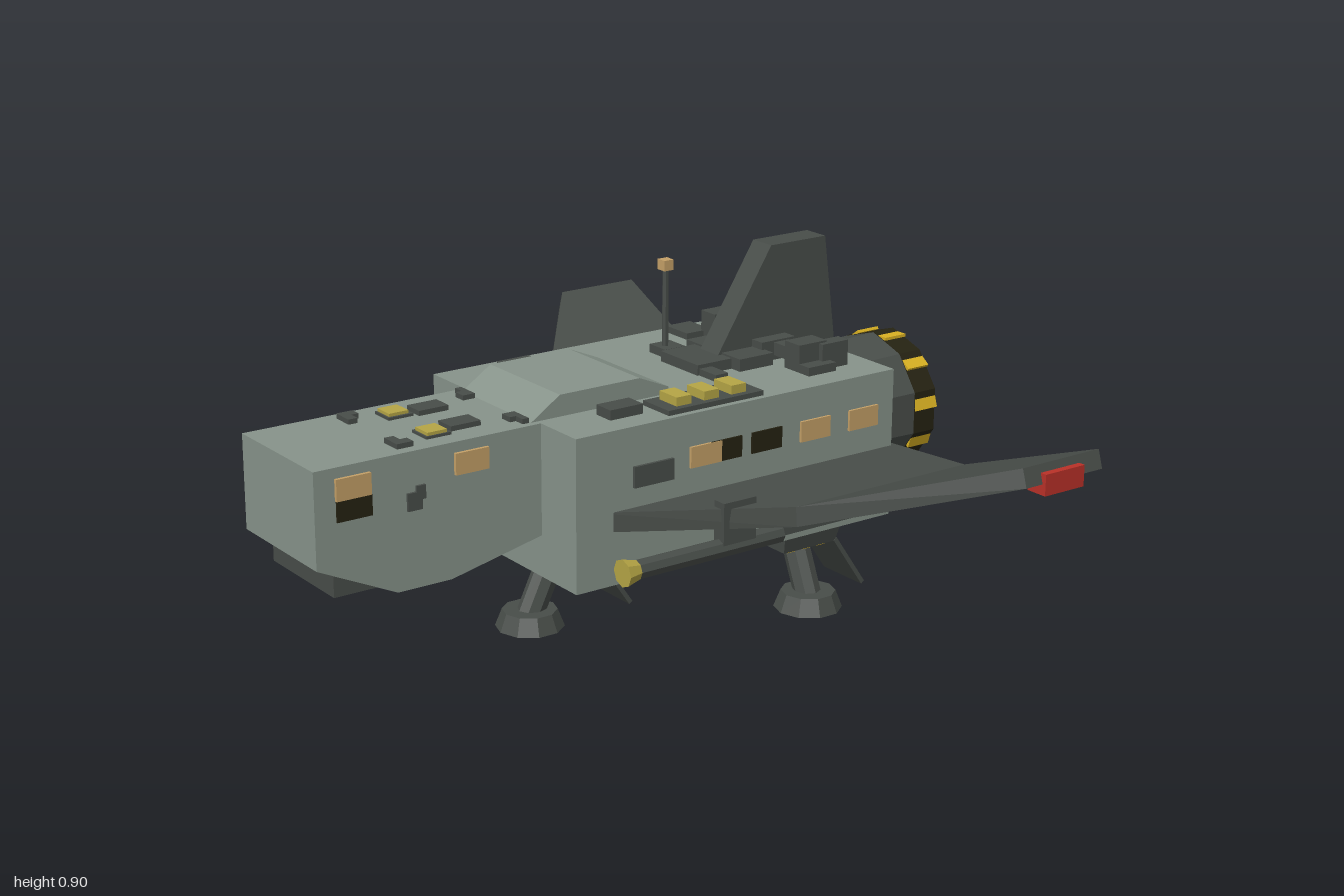
import * as THREE from 'three';
import { ConvexGeometry } from 'three/addons/geometries/ConvexGeometry.js';

const mat = (name, color) => {
  const m = new THREE.MeshStandardMaterial({ color, flatShading: true });
  m.name = name;
  return m;
};

export function createModel() {
  const hull = mat('hull grey green', 0x87938a), dark = mat('dark grey', 0x484d49);
  const black = mat('black', 0x252212), brass = mat('brass', 0xb5a545);
  const hazard = mat('hazard yellow', 0xd8b022), tan = mat('window tan', 0xc4a067);
  const red = mat('red', 0xb93128), green = mat('green', 0x1f7a3c);

  const model = new THREE.Group();
  model.name = 'spacecraft';
  const add = (name, geo, m, parent = model) => {
    const mesh = new THREE.Mesh(geo, m);
    mesh.name = name;
    parent.add(mesh);
    return mesh;
  };
  // Box given by its extents on each axis
  const box = (name, m, x0, x1, y0, y1, z0, z1, parent) => {
    const g = new THREE.BoxGeometry(x1 - x0, y1 - y0, z1 - z0);
    g.translate((x0 + x1) / 2, (y0 + y1) / 2, (z0 + z1) / 2);
    return add(name, g, m, parent);
  };
  const convex = (name, m, pts, parent) =>
    add(name, new ConvexGeometry(pts.map(p => new THREE.Vector3(...p))), m, parent);
  // Side profile of [z, y] points, extruded across x
  const slab = (name, m, pts, width) => {
    const g = new THREE.ExtrudeGeometry(new THREE.Shape(pts.map(p => new THREE.Vector2(...p))),
      { depth: width, bevelEnabled: false });
    g.translate(0, 0, -width / 2);
    g.rotateY(-Math.PI / 2);
    return add(name, g, m);
  };
  // Cylinder along z; r0 is the rear radius, r1 the front radius
  const tubeZ = (name, m, r0, r1, z0, z1, x, y, n, parent) => {
    const g = new THREE.CylinderGeometry(r1, r0, z1 - z0, n);
    g.rotateX(Math.PI / 2);
    g.translate(x, y, (z0 + z1) / 2);
    return add(name, g, m, parent);
  };
  // Cylinder between two points
  const rod = (name, m, a, b, r, n, parent) => {
    const p = new THREE.Vector3(...a), q = new THREE.Vector3(...b), d = q.clone().sub(p);
    const mesh = add(name, new THREE.CylinderGeometry(r, r, d.length(), n), m, parent);
    mesh.position.copy(p).add(q).multiplyScalar(0.5);
    mesh.quaternion.setFromUnitVectors(new THREE.Vector3(0, 1, 0), d.normalize());
    return mesh;
  };

  // Fuselage
  const TOP = 0.607;
  box('mainHull', hull, -0.325, 0.325, 0.207, TOP, -0.663, 0.338);
  slab('nose', hull, [[0.3, 0.325], [0.6, 0.26], [0.75, 0.26], [0.967, 0.362], [0.967, TOP], [0.3, TOP]], 0.35);
  slab('dorsalHump', hull, [[-0.06, TOP - 0.01], [0.37, TOP - 0.01], [0.27, 0.663], [0.03, 0.663], [-0.06, 0.625]], 0.315);
  box('chinBox', dark, -0.15, 0.15, 0.275, 0.345, 0.48, 0.91);
  const slot = add('chinSlot', new THREE.CylinderGeometry(0.064, 0.064, 0.012, 8), black);
  slot.scale.z = 0.2;
  slot.geometry.rotateY(Math.PI / 8);
  slot.scale.set(1, 1, 0.12);
  slot.position.set(0, 0.33, 0.907);

  // Tail fin
  slab('tailFin', dark, [[-0.29, TOP], [-0.478, 0.905], [-0.66, 0.905], [-0.705, 0.58], [-0.64, 0.58]], 0.076);

  // Engine with hazard band
  const EY = 0.408;
  tubeZ('engine', dark, 0.187, 0.18, -0.875, -0.65, 0, EY, 10);
  tubeZ('engineBand', black, 0.188, 0.188, -0.945, -0.873, 0, EY, 10);
  tubeZ('engineBackPlate', dark, 0.18, 0.18, -0.947, -0.94, 0, EY, 10);
  tubeZ('engineNozzle', brass, 0.06, 0.06, -0.97, -0.94, 0, EY, 8);
  for (let i = 0; i < 10; i++) {
    const pivot = new THREE.Group();
    pivot.name = 'hazardStripe';
    pivot.position.set(0, EY, 0);
    pivot.rotation.z = (i + 0.5) * Math.PI / 5 + Math.PI / 2;
    model.add(pivot);
    box('stripe', hazard, -0.012, 0.05, 0.174, 0.182, -0.946, -0.874, pivot);
  }

  for (const s of [-1, 1]) {
    const bx = (name, m, x0, x1, ...r) =>
      box(name, m, Math.min(s * x0, s * x1), Math.max(s * x0, s * x1), ...r);

    // Cranked wing: flat inner panel and raised outer panel
    const station = (xt, xb, yt, yb, zf, zr) =>
      [[s * xt, yt, zf], [s * xb, yb, zf], [s * xt, yt, zr], [s * xb, yb, zr]];
    const root = station(0.3, 0.3, 0.398, 0.347, 0.27, -0.675);
    const crank = station(0.55, 0.555, 0.398, 0.347, -0.16, -0.715);
    const tip = station(0.975, 0.99, 0.55, 0.503, -0.503, -0.755);
    convex('innerWing', dark, [...root, ...crank]);
    convex('outerWing', dark, [...crank, ...tip]);
    bx('wingLight', s > 0 ? red : green, 0.94, 1, 0.475, 0.53, -0.684, -0.556);

    // Wing gun
    bx('gunMount', dark, 0.43, 0.47, 0.3, 0.415, -0.1, 0);
    tubeZ('gunBarrel', dark, 0.025, 0.025, -0.19, 0.25, s * 0.45, 0.293, 8);
    tubeZ('gunMuzzle', brass, 0.024, 0.036, 0.245, 0.29, s * 0.45, 0.293, 8);

    // Hull side panels and windows
    bx('lowerSidePanel', dark, 0.32, 0.342, 0.23, 0.285, -0.57, -0.225);
    bx('sidePanel', dark, 0.32, 0.333, 0.45, 0.505, 0.05, 0.17);
    const wins = s > 0
      ? [[tan, -0.05], [black, -0.115], [black, -0.243], [tan, -0.4], [tan, -0.56]]
      : [[black, -0.08], [tan, -0.21], [tan, -0.4], [tan, -0.56]];
    for (const [m, z] of wins)
      bx('hullWindow', m, 0.32, m === tan ? 0.332 : 0.33, 0.467, 0.522, z - 0.048, z + 0.048);
    for (const z of [0.54, 0.865]) bx('noseWindow', tan, 0.17, 0.184, 0.525, 0.58, z - 0.047, z + 0.047);
    bx('noseDarkWindow', black, 0.17, 0.18, 0.472, 0.525, 0.815, 0.91);
    bx('noseSidePanel', dark, 0.17, 0.182, 0.46, 0.505, 0.68, 0.72);
    bx('noseSidePanel', dark, 0.17, 0.182, 0.485, 0.52, 0.67, 0.695);

    // Nose roof details
    bx('noseRoofBox', dark, 0.045, 0.103, TOP - 0.01, 0.62, 0.465, 0.55);
    bx('noseLightBase', dark, 0.055, 0.122, TOP - 0.01, 0.614, 0.56, 0.63);
    bx('noseLight', brass, 0.062, 0.118, TOP, 0.622, 0.57, 0.625);
    bx('noseClamp', dark, 0.09, 0.155, TOP - 0.01, 0.62, 0.36, 0.378);
    bx('noseClamp', dark, 0.09, 0.125, TOP - 0.01, 0.62, 0.37, 0.395);
    bx('noseClamp', dark, 0.085, 0.145, TOP - 0.01, 0.62, 0.7, 0.725);
    bx('noseClamp', dark, 0.115, 0.145, TOP - 0.01, 0.62, 0.68, 0.705);

    // Hull roof details
    bx('roofBox', dark, 0.195, 0.255, TOP - 0.01, 0.633, 0.09, 0.188);
    bx('roofPipe', dark, 0.185, 0.225, TOP, 0.675, -0.59, -0.505);
    bx('roofArm', dark, 0.07, 0.2, 0.62, 0.655, -0.51, -0.46);
    bx('roofJoint', dark, 0.15, 0.21, TOP, 0.68, -0.53, -0.44);
  }

  // Machinery around the fin
  box('finBase', dark, -0.115, 0.115, TOP - 0.01, 0.64, -0.43, -0.32);
  box('finBaseRear', dark, -0.08, 0.08, TOP - 0.01, 0.66, -0.53, -0.42);
  box('finBaseFront', dark, -0.08, 0.08, TOP - 0.01, 0.635, -0.33, -0.21);
  box('roofVent', dark, -0.295, -0.2, TOP - 0.01, 0.625, -0.465, -0.385);
  box('roofVent', dark, 0.17, 0.25, TOP - 0.01, 0.63, -0.53, -0.44);
  box('roofBracket', dark, 0.08, 0.15, TOP - 0.01, 0.625, -0.255, -0.215);

  // Antenna
  box('antennaBase', dark, -0.165, -0.095, TOP - 0.01, 0.63, -0.3, -0.235);
  rod('antennaMast', dark, [-0.13, 0.62, -0.26], [-0.13, 0.84, -0.26], 0.009, 6);
  box('antennaTip', tan, -0.145, -0.115, 0.837, 0.865, -0.275, -0.245);

  // Row of roof lamps
  box('lampPlate', dark, 0.2, 0.308, TOP - 0.01, 0.62, -0.245, -0.05 + 0.1);
  for (const z of [-0.18, -0.095, -0.01]) box('roofLamp', brass, 0.218, 0.29, 0.615, 0.643, z - 0.023, z + 0.023);

  // Landing gear: one in front, two at the rear
  for (const [x, z, dx, dz] of [[0, 0.182, 0, 0.08], [0.237, -0.405, 0.073, 0], [-0.237, -0.405, -0.073, 0]]) {
    const gear = new THREE.Group();
    gear.name = 'landingGear';
    gear.position.set(x, 0, z);
    model.add(gear);
    const pod = [];
    for (const sx of [-1, 1]) for (const sz of [-1, 1])
      pod.push([sx * 0.087, 0.21, sz * 0.092], [sx * 0.075, 0.165, sz * 0.085]);
    convex('gearPod', dark, pod, gear);
    box('gearPlate', black, -0.06, 0.06, 0.159, 0.167, -0.07, 0.07, gear);
    for (const zz of [-0.05, 0, 0.05]) box('gearStripe', hazard, -0.061, 0.061, 0.157, 0.166, zz - 0.013, zz + 0.013, gear);
    rod('gearLeg', dark, [dx * 0.1, 0.18, dz * 0.1], [dx, 0.03, dz], 0.036, 8, gear);
    const foot = add('gearFoot', new THREE.CylinderGeometry(0.072, 0.09, 0.046, 10), dark, gear);
    foot.position.set(dx, 0.023, dz);
    // Open door hanging behind the pod
    const door = box('gearDoor', dark, -0.077, 0.077, -0.175, 0, -0.006, 0.006, gear);
    door.position.set(0, 0.17, -0.085);
    door.rotation.x = Math.atan2(0.1, 0.145);
  }
  return model;
}
